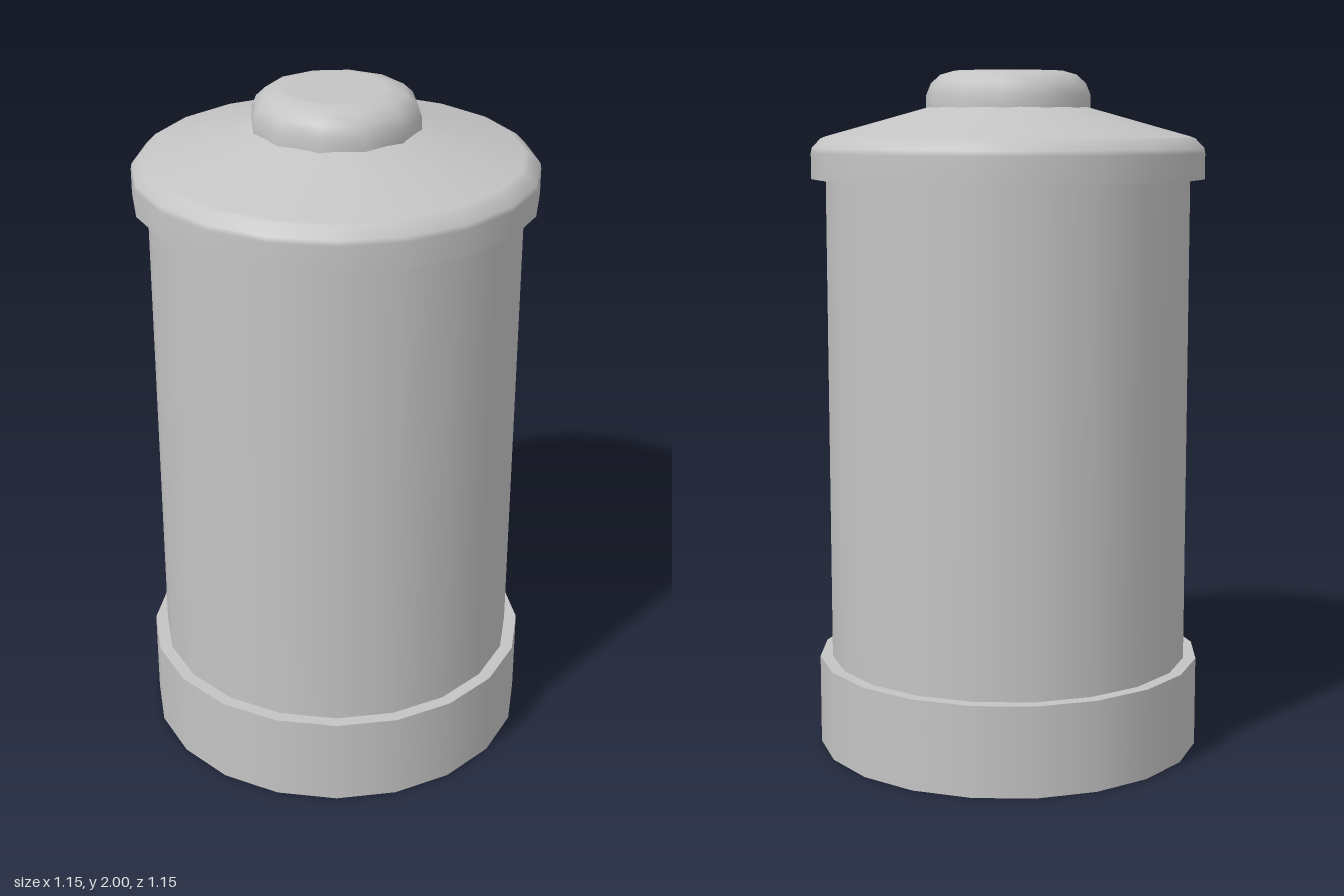
import * as THREE from 'three';

const grey = new THREE.MeshStandardMaterial({ color: 0xc4c4c4, side: THREE.DoubleSide });
grey.name = 'plain grey';

// Turns smooth profiles of [radius, height] pairs; edges between profiles stay sharp.
function turned(name, sides, turn, profiles) {
  const part = new THREE.Group();
  part.name = name;
  profiles.forEach((profile, i) => {
    const points = profile.map(([r, y]) => new THREE.Vector2(r, y));
    const mesh = new THREE.Mesh(new THREE.LatheGeometry(points, sides, turn), grey);
    mesh.name = `${name}Surface${i + 1}`;
    part.add(mesh);
  });
  return part;
}

export function createModel() {
  const model = new THREE.Group();
  model.name = 'canister';

  model.add(
    // Hollow skirt, open below, with a flat ledge up to the body
    turned('baseSkirt', 20, 0, [
      [[0.57, 0], [0.57, 0.265]],
      [[0.57, 0.265], [0.533, 0.265]],
    ]),
    // Main cylinder with its recessed floor
    turned('body', 20, 0, [
      [[0, 0.265], [0.533, 0.265]],
      [[0.533, 0.265], [0.533, 1.69]],
    ]),
    // Tapered spout under the floor
    turned('bottomSpout', 12, -0.09, [
      [[0, 0.105], [0.105, 0.105]],
      [[0.105, 0.105], [0.245, 0.265]],
    ]),
    // Overhanging lid with a bevelled shoulder and shallow cone
    turned('lid', 20, 0, [
      [[0.533, 1.69], [0.575, 1.69]],
      [[0.575, 1.69], [0.575, 1.765], [0.572, 1.78], [0.546, 1.807], [0.53, 1.813], [0.2, 1.905]],
    ]),
    // Rounded knob
    turned('knob', 12, -0.09, [
      [[0.24, 1.89], [0.24, 1.93], [0.226, 1.964], [0.199, 1.989], [0.16, 2], [0.14, 2], [0, 2]],
    ]),
  );

  return model;
}
